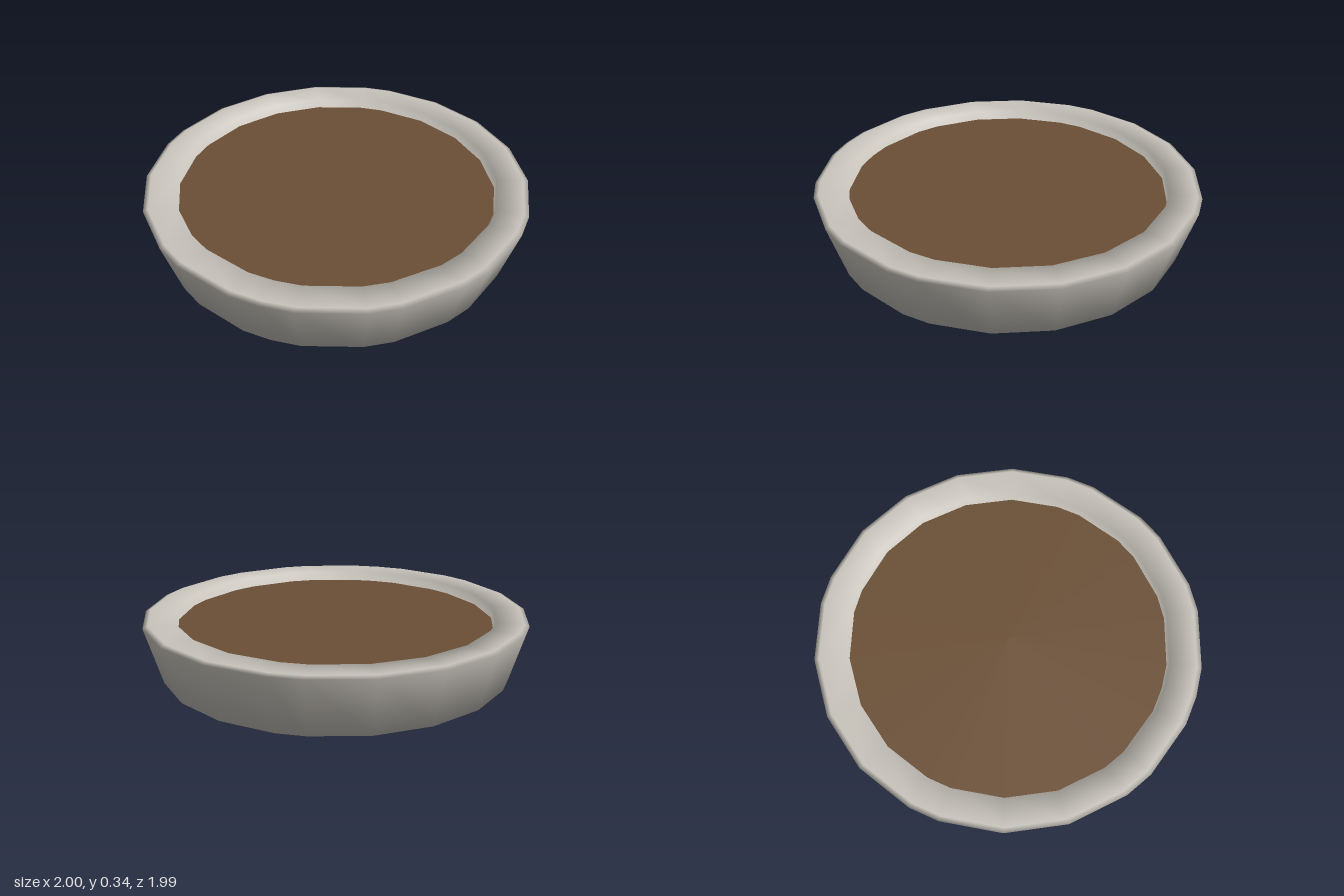
import * as THREE from 'three';

// Irregular side angles of the turned shape, in degrees, rising from the front edge
const ANGLES = [0, 9, 27, 36, 54, 72, 90, 108, 126, 135, 153, 171, 189, 207, 216,
  234, 252, 270, 279, 297, 306, 315, 333, 342];

// Lathe a profile, then turn each column of vertices to its own angle
function unevenLathe(profile) {
  const n = ANGLES.length;
  const geometry = new THREE.LatheGeometry(profile.map(([r, y]) => new THREE.Vector2(r, y)), n);
  const axis = new THREE.Vector3(0, 1, 0);
  const v = new THREE.Vector3();
  const { position, normal } = geometry.attributes;
  for (let i = 0; i < position.count; i++) {
    const column = Math.floor(i / profile.length);
    const target = column === n ? 360 : ANGLES[column];
    const turn = THREE.MathUtils.degToRad(target - (column * 360) / n);
    for (const attribute of [position, normal]) {
      v.fromBufferAttribute(attribute, i).applyAxisAngle(axis, turn);
      attribute.setXYZ(i, v.x, v.y, v.z);
    }
  }
  return geometry;
}

export function createModel() {
  const group = new THREE.Group();
  group.name = 'shallowPlanter';

  const stone = new THREE.MeshStandardMaterial({ color: 0xc8c4bc });
  stone.name = 'paleStone';
  const earth = new THREE.MeshStandardMaterial({ color: 0x6b4f35 });
  earth.name = 'brownEarth';

  // Bowl: shallow conical base, flared wall, bevelled rim, inside wall and floor
  const bowl = new THREE.Mesh(unevenLathe([
    [0, 0], [0.915, 0.04], [1, 0.335], [0.975, 0.345], [0.835, 0.34], [0.82, 0.2], [0, 0.2],
  ]), stone);
  bowl.name = 'bowl';
  group.add(bowl);

  // Soil: flat fill just below the rim
  const soil = new THREE.Mesh(unevenLathe([[0.83, 0.287], [0, 0.287]]), earth);
  soil.name = 'soil';
  group.add(soil);

  return group;
}
